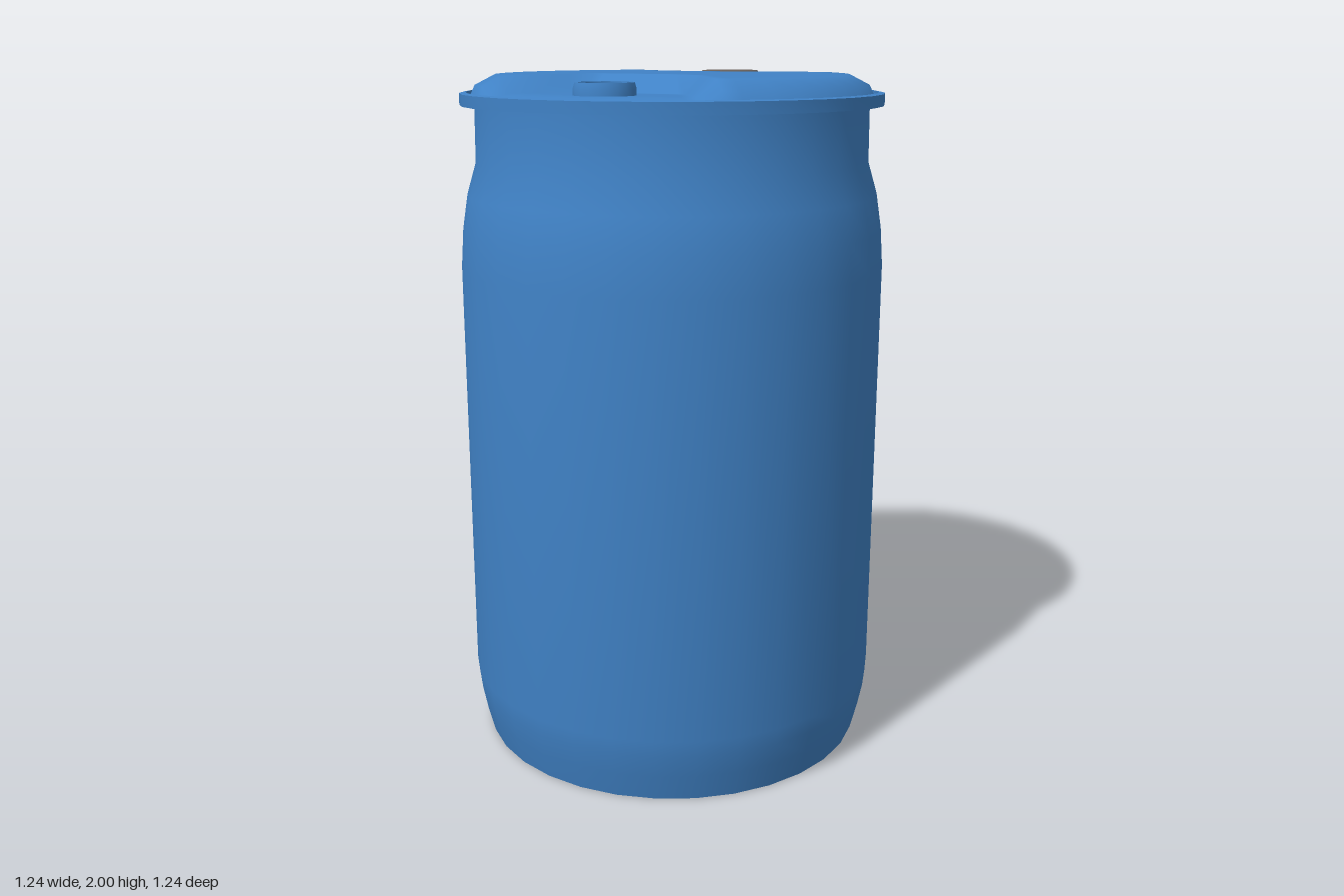
import * as THREE from 'three';
import { toCreasedNormals } from 'three/addons/utils/BufferGeometryUtils.js';

const blue = new THREE.MeshStandardMaterial({ color: 0x4082c6 });
blue.name = 'blue plastic';
const grey = new THREE.MeshStandardMaterial({ color: 0x695f58 });
grey.name = 'grey cap';

// Turned part from [radius, height] pairs, running up the outside
function turned(name, profile, material, segments = 32, crease = 0.5) {
  const points = profile.map(([r, y]) => new THREE.Vector2(r, y));
  const geometry = toCreasedNormals(new THREE.LatheGeometry(points, segments), crease);
  const mesh = new THREE.Mesh(geometry, material);
  mesh.name = name;
  return mesh;
}

// Raised lid with a wedge-shaped pocket at the front and at the back
function lidGeometry() {
  const FLOOR = 1.95, SEAM = 1.915;
  const edge = 40, foot = 34; // pocket half-angles at the top and foot of the side walls
  const half = [-edge, -foot, -30, -20, -10, 0, 10, 20, 30, foot, edge, 45, 54, 63, 72, 81, 90, 99, 108, 117, 126, 135];
  const angles = [...half, ...half.map((a) => a + 180)];
  const rad = Math.PI / 180;
  const positions = [0, 2, 0];
  const rings = 8;

  angles.forEach((a, i) => {
    const local = half[i % half.length];
    const inPocket = Math.abs(local) <= foot;
    const c = Math.cos(Math.min(Math.abs(local), edge, 180 - local) * rad);
    const radii = [0.16 / c, 0.18 / c, 0.235 / c, 0.26 / c, 0.42, 0.51, 0.565, 0.59];
    const heights = inPocket
      ? [2, 2, FLOOR, FLOOR, FLOOR, FLOOR, 1.935, SEAM]
      : [2, 2, 2, 1.999, 1.998, 1.996, 1.968, SEAM];
    radii.forEach((r, k) => positions.push(r * Math.sin(a * rad), heights[k], r * Math.cos(a * rad)));
  });

  const index = [];
  const n = angles.length;
  for (let i = 0; i < n; i++) {
    const a = 1 + i * rings, b = 1 + ((i + 1) % n) * rings;
    index.push(0, a, b);
    for (let k = 0; k < rings - 1; k++) {
      index.push(a + k, a + k + 1, b + k + 1, a + k, b + k + 1, b + k);
    }
  }
  const geometry = new THREE.BufferGeometry();
  geometry.setAttribute('position', new THREE.Float32BufferAttribute(positions, 3));
  geometry.setIndex(index);
  geometry.computeVertexNormals();
  return geometry;
}

export function createModel() {
  const drum = new THREE.Group();
  drum.name = 'drum';

  // Bulging wall and straight neck
  drum.add(turned('body', [
    [0.582, 0], [0.602, 0.08], [0.616, 0.15], [0.621, 0.2], [0.621, 1.45],
    [0.613, 1.56], [0.597, 1.66], [0.57, 1.75], [0.568, 1.92],
  ], blue));

  // Base, domed slightly upwards inside its standing ring
  drum.add(turned('base', [
    [0, 0.05], [0.2, 0.046], [0.36, 0.036], [0.48, 0.02], [0.555, 0.002], [0.582, 0],
  ], blue));

  // Flange around the neck
  drum.add(turned('rim', [
    [0.56, 1.912], [0.61, 1.912], [0.61, 1.945], [0.592, 1.948], [0.587, 1.913],
  ], blue));

  const lid = new THREE.Mesh(lidGeometry(), blue);
  lid.name = 'lid';
  drum.add(lid);

  // Open filler neck with a hollow plug at the front
  const filler = new THREE.Group();
  filler.name = 'fillerOpening';
  filler.add(turned('fillerNeck', [
    [0.085, 1.94], [0.085, 1.968], [0.08, 1.984], [0.07, 1.984], [0.07, 1.965],
  ], blue, 20));
  filler.add(turned('fillerPlug', [
    [0.07, 1.974], [0.062, 1.96], [0.04, 1.953], [0, 1.951],
  ].reverse().map(([r, y]) => [r, y]).reverse(), grey, 20, 1));
  filler.position.z = 0.39;
  drum.add(filler);

  // Closed screw cap at the back
  const closed = new THREE.Group();
  closed.name = 'closedOpening';
  closed.add(turned('capNeck', [[0.083, 1.94], [0.083, 1.975]], blue, 20));
  closed.add(turned('screwCap', [
    [0.08, 1.972], [0.093, 1.972], [0.093, 1.988], [0.086, 1.998], [0, 1.998],
  ], grey, 24));
  closed.position.z = -0.395;
  drum.add(closed);

  return drum;
}
